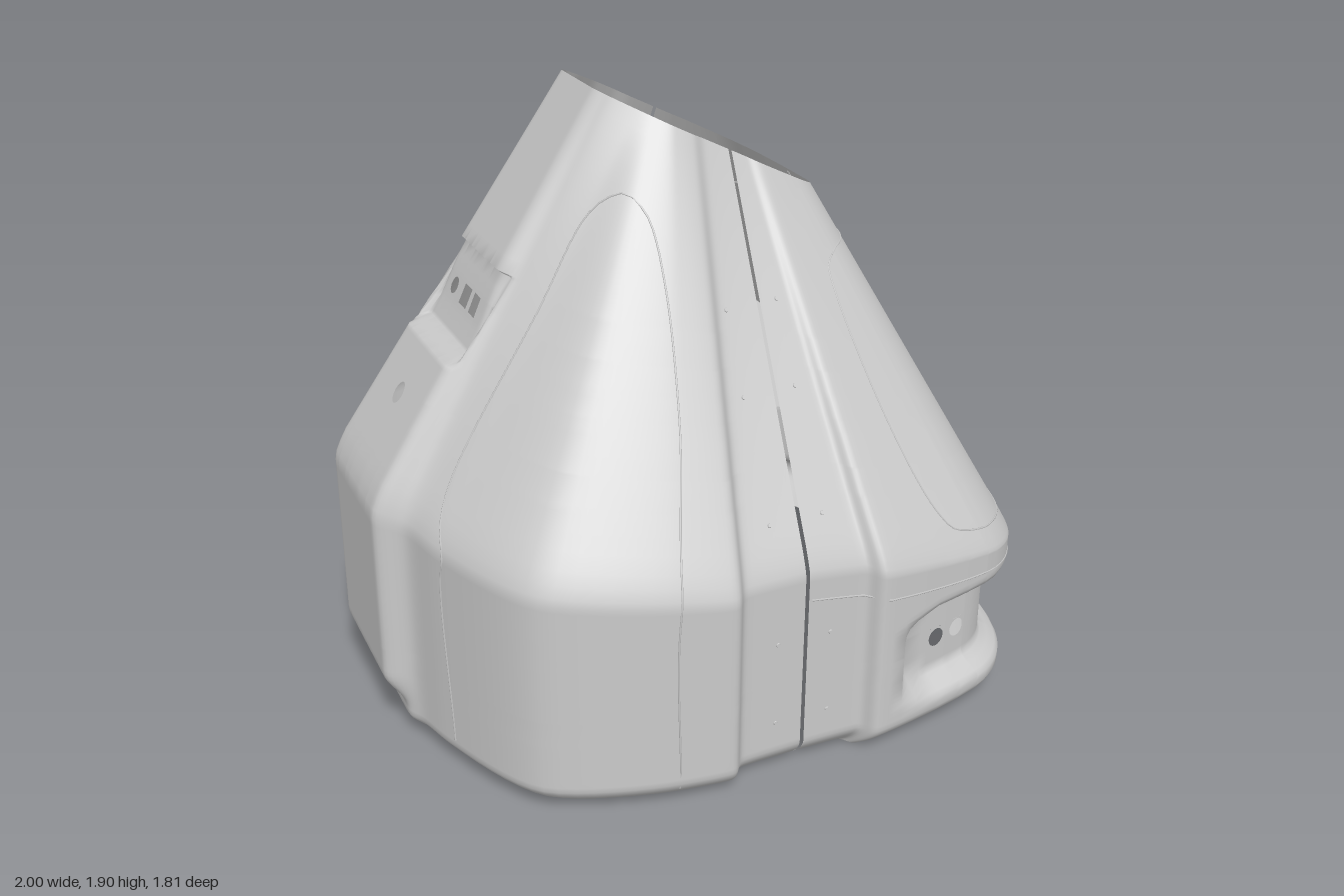
import * as THREE from 'three';
import { mergeVertices } from 'three/addons/utils/BufferGeometryUtils.js';

const { lerp, smoothstep: sstep } = THREE.MathUtils;

// Half outline from the rear spine (-x) to the visor (+x):
// knee x, knee z, rim x, rim z, knee height
const KNOTS = [
  [-1, 0, -0.26, 0, 0.79], [-1, 0.2, -0.26, 0.11, 0.79], [-0.92, 0.27, -0.235, 0.165, 0.76],
  [-0.87, 0.42, -0.175, 0.22, 0.74], [-0.7, 0.75, -0.13, 0.25, 0.72], [-0.34, 0.88, -0.08, 0.275, 0.68],
  [-0.18, 0.9, -0.03, 0.28, 0.66], [-0.12, 0.855, 0.02, 0.262, 0.66], [0.064, 0.85, 0.095, 0.26, 0.66],
  [0.076, 0.85, 0.105, 0.26, 0.66], [0.25, 0.855, 0.15, 0.262, 0.64], [0.31, 0.9, 0.2, 0.275, 0.63],
  [0.75, 0.8, 0.33, 0.255, 0.55], [0.9, 0.64, 0.4, 0.2, 0.52], [0.97, 0.38, 0.425, 0.11, 0.5],
  [1, 0, 0.43, 0, 0.5],
];
const N = KNOTS.length - 1, SLIT = 8;

function knot(i, c) {
  const mirrored = i < 0 || i > N;
  const value = KNOTS[i < 0 ? -i : i > N ? 2 * N - i : i][c];
  return mirrored && (c === 1 || c === 3) ? -value : value;
}
// Tangent limited so the curve never overshoots a knot
function slope(i, c) {
  const a = knot(i, c) - knot(i - 1, c), b = knot(i + 1, c) - knot(i, c);
  return a * b <= 0 ? 0 : (2 * a * b) / (a + b);
}
function outline(a, c) {
  const i = Math.min(Math.floor(a), N - 1), f = a - i, g = 1 - f;
  return knot(i, c) * (1 + 2 * f) * g * g + slope(i, c) * f * g * g
    + knot(i + 1, c) * f * f * (3 - 2 * f) - slope(i + 1, c) * f * f * g;
}

// Plain loft: v 0..1 is the upright wall, 1..2 the taper to the slanted rim
function loft(u, v) {
  const [kx, kz, tx, tz, yk] = [0, 1, 2, 3, 4].map((c) => outline(Math.abs(u), c));
  const t = Math.max(0, v - 1), side = u < 0 ? -1 : 1;
  const y = v < 0.47 ? v : v <= 1 ? lerp(0.47, yk, (v - 0.47) / 0.53)
    : lerp(yk, 1.9 - (tx + 0.26) * 0.507, t);
  return new THREE.Vector3(lerp(kx, tx, t), y, lerp(kz, tz, t) * side);
}

// Finished surface: rounded knee, tucked hem, visor recess and spine pocket
function surface(u, v) {
  const p = loft(u, v), a = Math.abs(u), w = 0.08 - Math.abs(v - 1);
  if (w > 0) p.multiplyScalar(0.5).addScaledVector(loft(u, v - w), 0.25).addScaledVector(loft(u, v + w), 0.25);
  const dx = p.x - 0.39, dy = Math.min(p.y - 0.11, 0.45 - p.y), r = 0.12;
  if (v < 0.47 && dx > 0 && dy > 0) {
    const d = dx < r && dy < r ? r - Math.hypot(r - dx, r - dy) : Math.min(dx, dy);
    const e = 0.01, lo = Math.max(u - e, -N), hi = Math.min(u + e, N);
    const tan = loft(hi, v).sub(loft(lo, v)).normalize();
    p.addScaledVector(new THREE.Vector3(-tan.z, 0, tan.x), -0.07 * sstep(d, 0, 0.06));
  }
  if (v < 1) {
    p.x += 0.06 * (1 - sstep(p.y, 0.1, 0.22)) * (1 - sstep(a, 1, 2));
    const k = Math.pow(Math.max(0, 0.08 - p.y) / 0.08, 1.6);
    p.x *= 1 - 0.1 * k;
    p.z *= 1 - 0.08 * k;
  } else if (a < 4) {
    const inZ = 1 - sstep(Math.abs(p.z), 0.18, 0.2);
    const inV = sstep(v, 1.34, 1.36) * (1 - sstep(v, 1.56, 1.572));
    p.x += 0.055 * inZ * inV * lerp(1, 0.4, sstep(v, 1.36, 1.57));
  }
  return p;
}

// Finds u where the loft reaches a given x or z at height v
function findU(axis, value, v, lo, hi) {
  const rising = loft(hi, v)[axis] > loft(lo, v)[axis];
  for (let i = 0; i < 40; i++) {
    const mid = (lo + hi) / 2;
    if (loft(mid, v)[axis] < value === rising) lo = mid; else hi = mid;
  }
  return (lo + hi) / 2;
}

function makeHoles() {
  const holes = [];
  const add = (axis, c, half, v0, v1, lo, hi, round) => {
    const e = [findU(axis, c - half, (v0 + v1) / 2, lo, hi), findU(axis, c + half, (v0 + v1) / 2, lo, hi)];
    const hole = { u0: Math.min(...e), u1: Math.max(...e), v0, v1, round };
    holes.push(hole);
    return hole;
  };
  // lamp holes along the visor, mirrored
  for (const [axis, c, lo, hi] of [['x', 0.58, 11, 13], ['x', 0.67, 11, 13], ['z', 0.59, 12, N],
    ['z', 0.495, 12, N], ['z', 0.3, 12, N], ['z', 0.21, 12, N], ['z', 0.048, 12, N]]) {
    const h = add(axis, c, 0.035, 0.235, 0.305, lo, hi, true);
    holes.push({ ...h, u0: -h.u1, u1: -h.u0 });
  }
  // pocket slots, and the round spine hole below the middle one
  const middle = add('z', 0, 0.03, 1.43, 1.48, -3, 3, false);
  holes.push({ ...middle, v0: 1.185, v1: 1.245, round: true });
  add('z', 0.08, 0.025, 1.43, 1.48, -3, 3, false);
  add('z', -0.1, 0.028, 1.43, 1.48, -3, 3, true);
  return holes;
}

// Grid lines that follow hole edges and never cross a hole
function gridLines(from, to, step, extra, spans) {
  const lines = [...extra];
  const n = Math.round((to - from) / step);
  for (let i = 0; i <= n; i++) lines.push(lerp(from, to, i / n));
  const clear = lines.filter((s) => !spans.some(([a, b]) => s > a - 0.004 && s < b + 0.004));
  return [...clear, ...spans.flat()].filter((s) => s >= from && s <= to)
    .sort((a, b) => a - b).filter((s, i, all) => i === 0 || s - all[i - 1] > 1e-6);
}

function shellGeometry(from, to, holes) {
  const us = gridLines(from, to, 0.125, [], holes.map((h) => [h.u0, h.u1]));
  const vs = [
    ...gridLines(0, 0.47, 0.0157, [], [[0.235, 0.305]]),
    ...gridLines(0.5, 2, 0.04, [1.34, 1.35, 1.36, 1.56, 1.572], [[1.185, 1.245], [1.43, 1.48]]),
  ];
  const pos = [];
  const quad = (...c) => [0, 1, 2, 0, 2, 3].forEach((i) => pos.push(...c[i].toArray()));
  const grid = us.map((u) => vs.map((v) => surface(u, v)));
  for (let i = 0; i < us.length - 1; i++) for (let j = 0; j < vs.length - 1; j++) {
    const um = (us[i] + us[i + 1]) / 2, vm = (vs[j] + vs[j + 1]) / 2;
    const hole = holes.find((h) => um > h.u0 && um < h.u1 && vm > h.v0 && vm < h.v1);
    if (!hole) quad(grid[i][j], grid[i + 1][j], grid[i + 1][j + 1], grid[i][j + 1]);
    else if (hole.round) {
      const at = (k, inner) => {
        const a = (k % 16) * Math.PI / 8, c = Math.cos(a), s = Math.sin(a);
        const m = inner ? 0.86 : 1 / Math.max(Math.abs(c), Math.abs(s));
        return surface(um + c * m * (us[i + 1] - us[i]) / 2, vm + s * m * (vs[j + 1] - vs[j]) / 2);
      };
      for (let k = 0; k < 16; k++) quad(at(k, false), at(k + 1, false), at(k + 1, true), at(k, true));
    }
  }
  const flat = new THREE.BufferGeometry();
  flat.setAttribute('position', new THREE.Float32BufferAttribute(pos, 3));
  const geometry = mergeVertices(flat, 1e-5);
  geometry.computeVertexNormals();
  return geometry;
}

export function createModel() {
  const group = new THREE.Group();
  const shellGrey = new THREE.MeshStandardMaterial({ color: 0xcacaca, side: THREE.DoubleSide });
  shellGrey.name = 'shell grey';
  const add = (name, geometry) => {
    const mesh = new THREE.Mesh(geometry, shellGrey);
    mesh.name = name;
    group.add(mesh);
    return mesh;
  };

  // Thin shell in three pieces, with a narrow slit on each side
  const holes = makeHoles();
  const shells = [['rearShell', -SLIT, SLIT], ['leftVisorShell', SLIT + 1, N], ['rightVisorShell', -N, -SLIT - 1]]
    .map(([name, a, b]) => add(name, shellGeometry(a, b, holes.filter((h) => h.u0 > a && h.u1 < b))));

  // Inner shelf with a rectangular opening
  const shelf = new THREE.Shape([[-0.55, -0.4], [0.55, -0.4], [0.55, 0.4], [-0.55, 0.4]].map((p) => new THREE.Vector2(...p)));
  shelf.holes.push(new THREE.Path([[0.08, -0.2], [0.08, 0.2], [0.28, 0.2], [0.28, -0.2]].map((p) => new THREE.Vector2(...p))));
  add('innerShelf', new THREE.ExtrudeGeometry(shelf, { depth: 0.01, bevelEnabled: false })
    .rotateX(Math.PI / 2).translate(0, 0.95, 0));

  // Projects a point onto the shell, from the side (x, y) or from the visor end (z, y)
  const ray = new THREE.Raycaster();
  const project = (h, y, end) => {
    ray.set(end ? new THREE.Vector3(3, y, h) : new THREE.Vector3(h, y, 3),
      end ? new THREE.Vector3(-1, 0, 0) : new THREE.Vector3(0, 0, -1));
    return ray.intersectObjects(shells)[0];
  };
  const seam = (name, points, end, count) => {
    const path = new THREE.CatmullRomCurve3(points.map(([h, y]) => new THREE.Vector3(h, y, 0)), false, 'centripetal');
    const hits = path.getSpacedPoints(count).map((p) => project(p.x, p.y, end)).filter(Boolean).map((h) => h.point);
    for (const side of [1, -1]) {
      const curve = new THREE.CatmullRomCurve3(hits.map((p) => new THREE.Vector3(p.x, p.y, p.z * side)));
      add(name, new THREE.TubeGeometry(curve, count * 2, 0.003, 5));
    }
  };
  // Fine panel seams, mirrored on both sides
  seam('visorPanelSeam', [[0.005, 1.41], [0.34, 1.41], [0.385, 1.395], [0.43, 1.34], [0.79, 0.69], [0.8, 0.63],
    [0.72, 0.6], [0.005, 0.59]], true, 40);
  seam('visorCentreSeam', [[0.003, 0.46], [0.003, 1.54]], true, 12);
  seam('visorTopSeam', [[0.085, 0.56], [0.5, 0.505], [0.96, 0.455]], false, 20);
  seam('visorBrowSeam', [[0.005, 0.452], [0.62, 0.452]], true, 14);
  seam('sidePanelSeam', [[-0.86, 0.1], [-0.865, 0.7], [-0.84, 0.81], [-0.5, 1.35], [-0.33, 1.6], [-0.25, 1.65],
    [-0.21, 1.6], [-0.2, 1.45], [-0.24, 1.1], [-0.335, 0.65], [-0.335, 0.06]], false, 50);

  // Rivets beside the slits and the visor centre seam
  const rivet = (h, y, end) => {
    const hit = project(h, y, end);
    for (const side of [1, -1]) {
      const flip = new THREE.Vector3(1, 1, side), normal = hit.face.normal.clone().multiply(flip);
      const stud = add('rivet', new THREE.CylinderGeometry(0.006, 0.008, 0.006, 10));
      stud.position.copy(hit.point).multiply(flip);
      stud.quaternion.setFromUnitVectors(new THREE.Vector3(0, 1, 0), normal);
    }
  };
  for (const y of [1.33, 1.11, 0.79, 0.44, 0.175]) [-0.02, 0.15].forEach((x) => rivet(x, y, false));
  for (const y of [1.27, 1.05, 0.77, 0.64]) rivet(0.036, y, true);
  return group;
}
